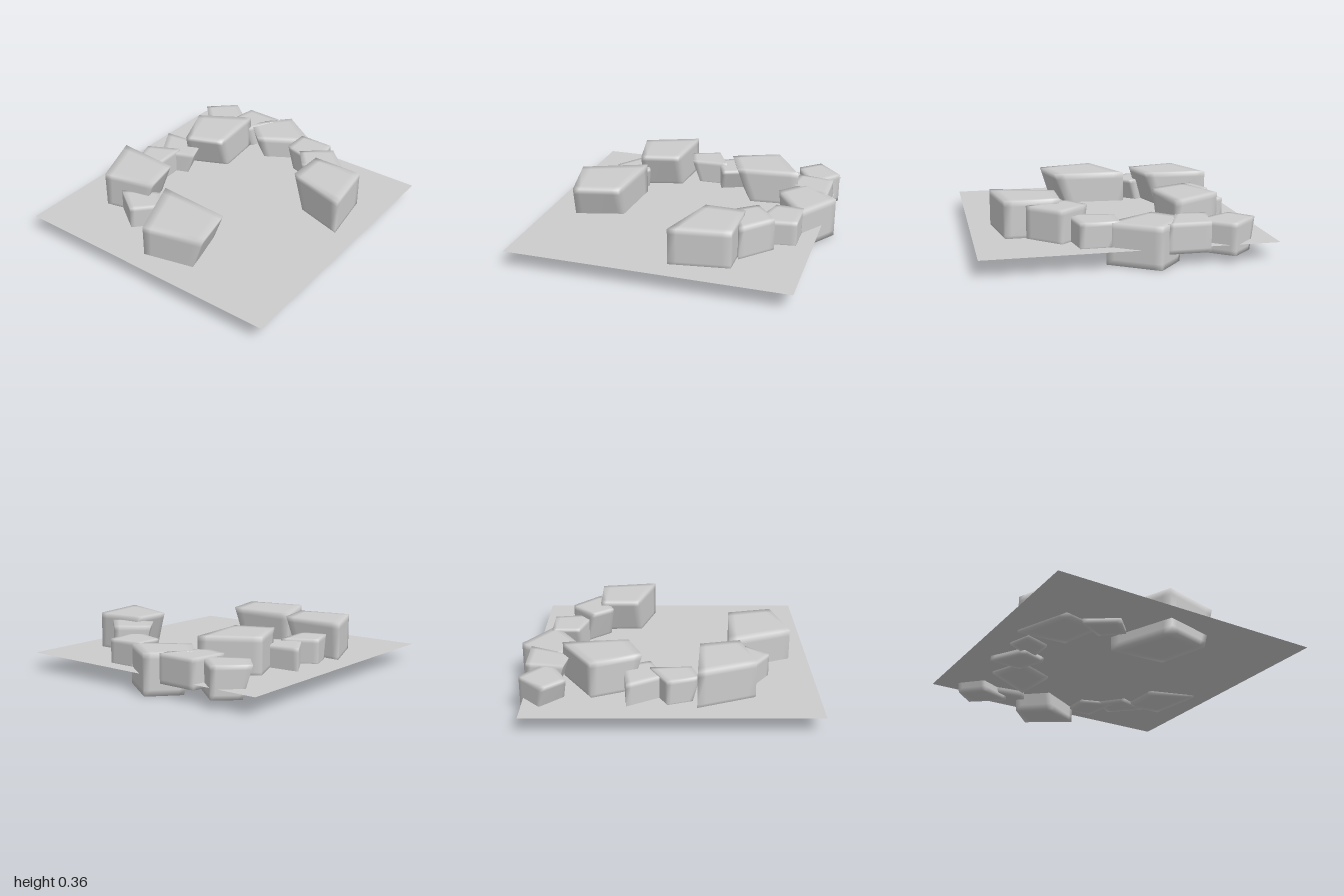
import * as THREE from 'three';
import { mergeVertices } from 'three/addons/utils/BufferGeometryUtils.js';

// Shared stone outline seen from above: corners A, B, C, D, with A at the origin
const B = new THREE.Vector2(0.52, 0.03);
const C = new THREE.Vector2(0.59, 0.34);
const D = new THREE.Vector2(0.18, 0.44);
const UNDERCUT = 0.24; // how far the short side B-C leans in at the bottom
const INSET = 0.14; // edge loops that give the soft-looking edges

// Block with loops near its edges, warped into the stone outline, smooth shaded
function stoneGeometry() {
  let geo = new THREE.BoxGeometry(1, 1, 1, 3, 3, 3);
  geo.deleteAttribute('normal');
  geo.deleteAttribute('uv');
  geo = mergeVertices(geo);
  const p = geo.attributes.position;
  const loop = (c) => (Math.abs(c) > 0.4 ? c + 0.5 : c < 0 ? INSET : 1 - INSET);
  for (let i = 0; i < p.count; i++) {
    const t = loop(p.getY(i));
    const u = loop(p.getX(i)) * (1 - UNDERCUT * (1 - t));
    const v = loop(p.getZ(i));
    const near = B.clone().multiplyScalar(u);
    const far = D.clone().lerp(C, u);
    near.lerp(far, v);
    p.setXYZ(i, near.x, t, near.y);
  }
  return geo;
}

// Each stone: corner A (x, z), corner C (x, z), bottom, top
const STONES = [
  [-0.25, 0.43, 0.34, 0.77, 0.02, 0.333],
  [-0.82, 0.2, -0.31, 0.5, 0.1, 0.363],
  [-0.54, 0.56, -0.19, 0.54, 0.085, 0.27],
  [-0.56, -0.1, -0.71, 0.22, 0.1, 0.28],
  [-0.8, -0.25, -0.43, -0.1, 0.08, 0.265],
  [-0.335, -0.69, -0.54, -0.15, 0.1, 0.36],
  [-0.43, -0.77, -0.835, -0.775, 0.05, 0.26],
  [-0.21, -0.92, -0.535, -0.67, 0.08, 0.275],
  [0.15, -0.79, -0.375, -0.75, 0, 0.275],
  [0.36, -0.53, 0.065, -0.81, 0.1, 0.28],
  [0.615, -0.495, 0.22, -0.53, 0.1, 0.335],
  [0.81, -0.08, 0.39, -0.48, 0.1, 0.365],
];

export function createModel() {
  const model = new THREE.Group();
  model.name = 'stoneRing';
  const grey = new THREE.MeshStandardMaterial({ color: 0xcccccc, side: THREE.DoubleSide });
  grey.name = 'grey';

  // Ground sheet that the stones sink into
  const ground = new THREE.Mesh(new THREE.PlaneGeometry(1.92, 1.92).rotateX(-Math.PI / 2), grey);
  ground.name = 'groundSheet';
  ground.position.set(0, 0.117, 0.04);
  model.add(ground);

  // Ring of stones: one shape, turned and scaled so A and C land on their marks
  const base = stoneGeometry();
  STONES.forEach(([ax, az, cx, cz, bottom, top], i) => {
    const diagonal = new THREE.Vector2(cx - ax, cz - az);
    const scale = diagonal.length() / C.length();
    const turn = C.angle() - diagonal.angle();
    const geo = base.clone();
    geo.scale(scale, top - bottom, scale).rotateY(turn).translate(ax, bottom, az);
    geo.computeVertexNormals();
    const stone = new THREE.Mesh(geo, grey);
    stone.name = `stone${i + 1}`;
    model.add(stone);
  });
  return model;
}
